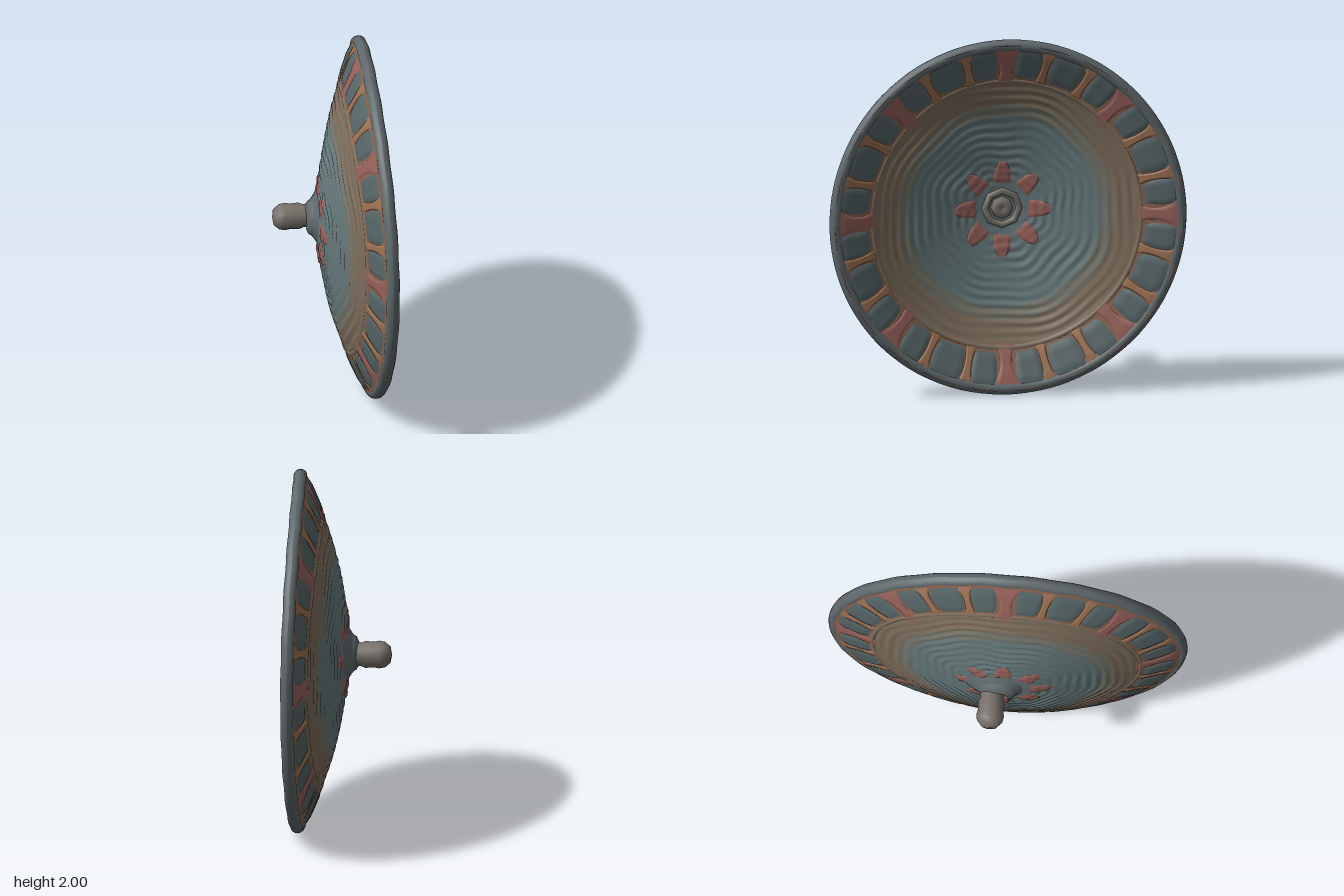
import * as THREE from 'three';

const TAU = Math.PI * 2;
const THICK = 0.068;

// Warp of the dish along x: a slight saddle plus a slight lean
const warp = (r, a) =>
  0.03 * Math.sin(Math.PI * r * 0.7) ** 2 * Math.cos(2 * a)
  - 0.013 * Math.sin(Math.PI * r) * Math.cos(a);

// Fine irregular terraces, fading out towards the decorated border
const ripple = (r, a) => {
  const fade = THREE.MathUtils.smoothstep(r, 0.1, 0.2) * (1 - THREE.MathUtils.smoothstep(r, 0.68, 0.78));
  const swell = 0.65 + 0.35 * Math.sin(5 * a + 17 * r);
  return 0.0035 * fade * swell * Math.sin(120 * r + 1.4 * Math.cos(8 * a) + 1.2 * Math.sin(3 * a + 9 * r));
};

// Point on the dish; side +1 is the hollow face, -1 the bulging face
function dishPoint(r, a, side, lift = 0) {
  const x = -0.07 + 0.28 * r ** 1.55 + warp(r, a) + ripple(r, a)
    + (side > 0 ? THICK : 0) + side * lift;
  return [x, 1 + r * Math.sin(a), 0.987 * r * Math.cos(a)];
}

// Surface from a rule fn(u, v) with u and v in 0..1
function surface(nu, nv, fn, flip) {
  const pos = [], idx = [];
  for (let i = 0; i <= nu; i++)
    for (let j = 0; j <= nv; j++) pos.push(...fn(i / nu, j / nv));
  for (let i = 0; i < nu; i++)
    for (let j = 0; j < nv; j++) {
      const a = i * (nv + 1) + j, b = a + nv + 1;
      if (flip) idx.push(a, a + 1, b, b, a + 1, b + 1);
      else idx.push(a, b, a + 1, b, b + 1, a + 1);
    }
  const g = new THREE.BufferGeometry();
  g.setAttribute('position', new THREE.Float32BufferAttribute(pos, 3));
  g.setIndex(idx);
  g.computeVertexNormals();
  return g;
}

export function createModel() {
  const model = new THREE.Group();
  model.name = 'shield';
  const paint = (color) => new THREE.MeshStandardMaterial({ color });
  const blue = paint(0x66797b), slate = paint(0x566567), mixed = paint(0x75756b),
    tan = paint(0x7d6d5c), clay = paint(0x87624f), pink = paint(0x96605a),
    orange = paint(0x9c7052), iron = paint(0x5f686b), boss = paint(0x77706a);

  const add = (parent, name, geo, mat) => {
    const m = new THREE.Mesh(geo, mat);
    m.name = name;
    parent.add(m);
    return m;
  };

  // Raised patch on the dish: half(t) is its half angle from inner to outer radius
  const patch = (parent, name, side, mat, a0, r0, r1, half, h) =>
    add(parent, name, surface(10, 8, (u, v) => {
      const r = r0 + (r1 - r0) * u;
      const w = 2 * v - 1;
      const edge = Math.min(1, 4 * (1 - Math.abs(w)), 5 * u, 5 * (1 - u));
      return dishPoint(r, a0 + w * half(u), side, h * edge - 0.001 * (1 - edge));
    }, side > 0), mat);

  for (const side of [1, -1]) {
    const face = new THREE.Group();
    face.name = side > 0 ? 'innerFace' : 'outerFace';
    model.add(face);

    // Painted rings of the dish
    const rings = [
      ['centreDisc', 0, 0.54, 60, blue], ['fadedRing', 0.54, 0.61, 10, mixed],
      ['tanRing', 0.61, 0.74, 18, tan], ['borderRing', 0.74, 0.972, 8, clay],
    ];
    for (const [name, r0, r1, n, mat] of rings)
      add(face, name, surface(n, 128,
        (u, v) => dishPoint(r0 + (r1 - r0) * u, v * TAU, side), side > 0), mat);

    // Border ornament and star, repeated eight times
    for (let k = 0; k < 8; k++) {
      const a = k * TAU / 8;
      patch(face, 'starPetal', side, pink, a, 0.145, 0.275,
        (t) => 0.03 + 0.31 * (1 - t) ** 0.7, 0.006);
      patch(face, 'wedge', side, pink, a, 0.72, 0.96,
        (t) => 0.04 + 0.2 * (t - 0.45) ** 2, 0.006);
      for (const s of [-1, 1])
        patch(face, 'spoke', side, orange, a + s * 0.255, 0.74, 0.96,
          (t) => 0.024 + 0.1 * (t - 0.5) ** 2, 0.007);
      for (const [offset, width] of [[-0.145, 0.08], [0.145, 0.08], [TAU / 16, 0.105]])
        patch(face, 'borderPanel', side, slate, a + offset, 0.77, 0.95,
          (t) => width * (0.72 + 0.35 * Math.sin(Math.PI * (0.15 + 0.7 * t))), 0.008);
    }

    // Thin raised band inside the border
    add(face, 'borderBand', surface(6, 128, (u, v) =>
      dishPoint(0.75 + 0.014 * (2 * u - 1), v * TAU, side, 0.006 * Math.sin(Math.PI * u) - 0.001), side > 0), tan);
  }

  // Rounded rim flush with both faces
  add(model, 'rim', surface(14, 128, (u, v) => {
    const p = u * TAU, a = v * TAU;
    const r = 0.966 + 0.034 * Math.cos(p);
    return [0.23 + warp(0.97, a) + 0.036 * Math.sin(p) + 0.0015 * Math.sin(23 * a),
      1 + r * Math.sin(a), 0.987 * r * Math.cos(a)];
  }), iron);

  // Spike on the bulging face, with a flared foot
  const lathe = (pts, n) => new THREE.LatheGeometry(pts.map(([r, d]) => new THREE.Vector2(r, d)), n);
  const foot = add(model, 'spikeFoot', lathe(
    [[0.18, 0.035], [0.145, 0.06], [0.115, 0.078], [0.1, 0.09], [0.092, 0.105], [0.06, 0.12]], 20), iron);
  const spike = add(model, 'spike', lathe(
    [[0.068, 0.08], [0.064, 0.13], [0.074, 0.155], [0.07, 0.2], [0.076, 0.23],
      [0.07, 0.262], [0.045, 0.292], [0, 0.3]], 10), boss);
  for (const m of [foot, spike]) {
    m.rotation.z = Math.PI / 2;
    m.position.set(0, 1, m === spike ? -0.058 : -0.03);
  }

  // Eight-sided boss in the hollow face
  const ring = add(model, 'bossRing', new THREE.TorusGeometry(0.095, 0.02, 8, 8), boss);
  ring.rotation.set(0, Math.PI / 2, 0);
  ring.position.set(0.012, 1.005, 0);
  const stud = add(model, 'bossStud', lathe(
    [[0.065, -0.03], [0.06, 0.018], [0.045, 0.032], [0.025, 0.034], [0, 0.026]], 8), boss);
  stud.rotation.z = -Math.PI / 2;
  stud.position.set(0, 1.005, 0);

  return model;
}
